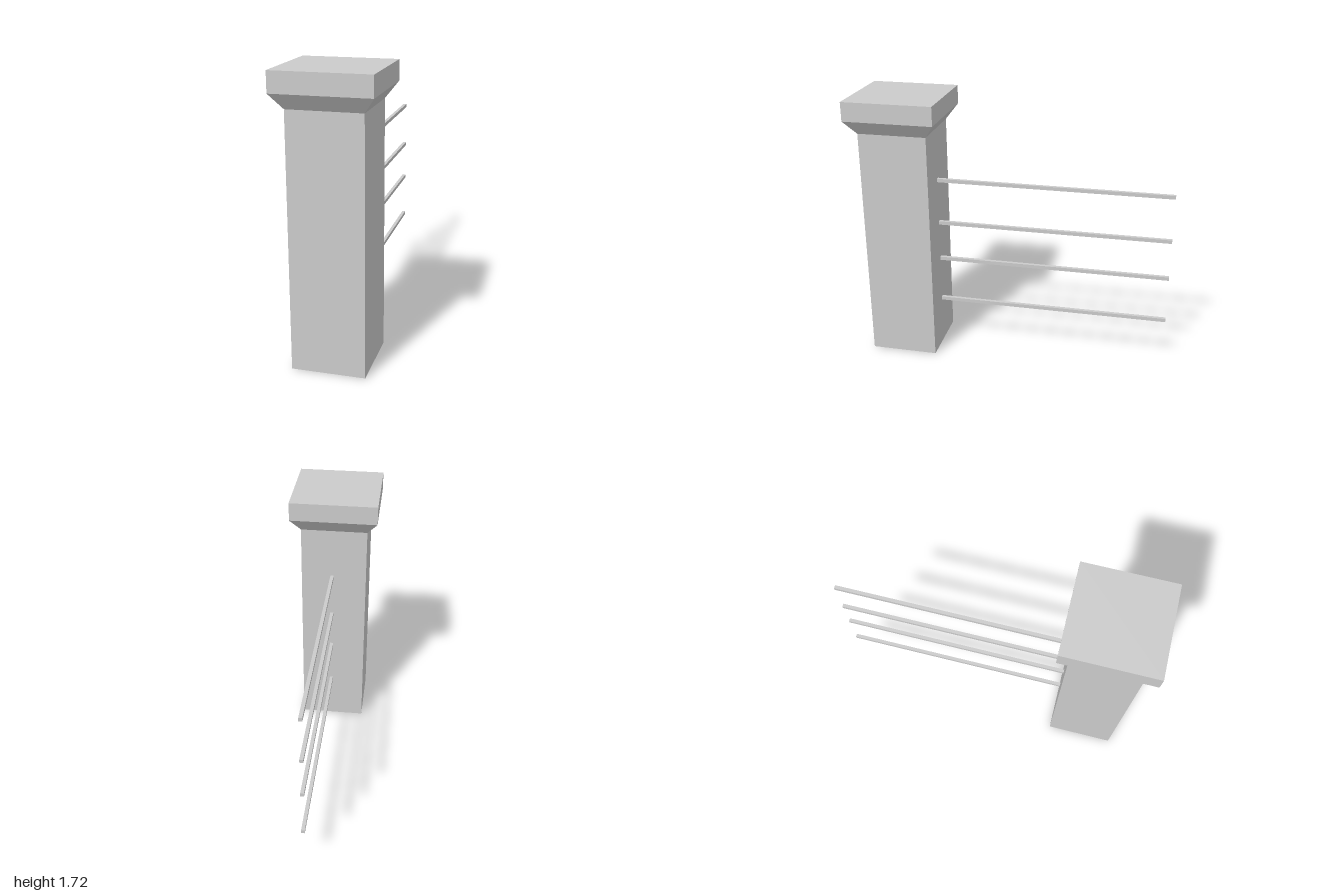
import * as THREE from 'three';

const material = new THREE.MeshStandardMaterial({ color: 0xcccccc, flatShading: true });

export function createModel() {
  const group = new THREE.Group();
  const postZ = 0.717;
  const shaftHalf = 0.217, capHalf = 0.283;

  const add = (name, geometry, x, y, z) => {
    const mesh = new THREE.Mesh(geometry, material);
    mesh.name = name;
    mesh.position.set(x, y, z);
    group.add(mesh);
  };

  // Square post
  const shaftTop = 1.51, flareTop = 1.6, capTop = 1.72;
  add('postShaft', new THREE.BoxGeometry(shaftHalf * 2, shaftTop, shaftHalf * 2), 0, shaftTop / 2, postZ);

  // Flared neck: a four-sided frustum widening up to the cap
  const flare = new THREE.CylinderGeometry(
    capHalf * Math.SQRT2, shaftHalf * Math.SQRT2, flareTop - shaftTop, 4, 1, false, Math.PI / 4);
  add('capFlare', flare, 0, (shaftTop + flareTop) / 2, postZ);

  // Cap slab
  add('capSlab', new THREE.BoxGeometry(capHalf * 2, capTop - flareTop, capHalf * 2),
    0, (flareTop + capTop) / 2, postZ);

  // Thin square rails running back from the post
  const railFront = postZ - shaftHalf, railBack = -1;
  const railLength = railFront - railBack;
  [0.32, 0.62, 0.876, 1.17].forEach((y, i) => {
    add(`rail${i + 1}`, new THREE.BoxGeometry(0.022, 0.023, railLength),
      0.011, y, (railFront + railBack) / 2);
  });

  return group;
}
